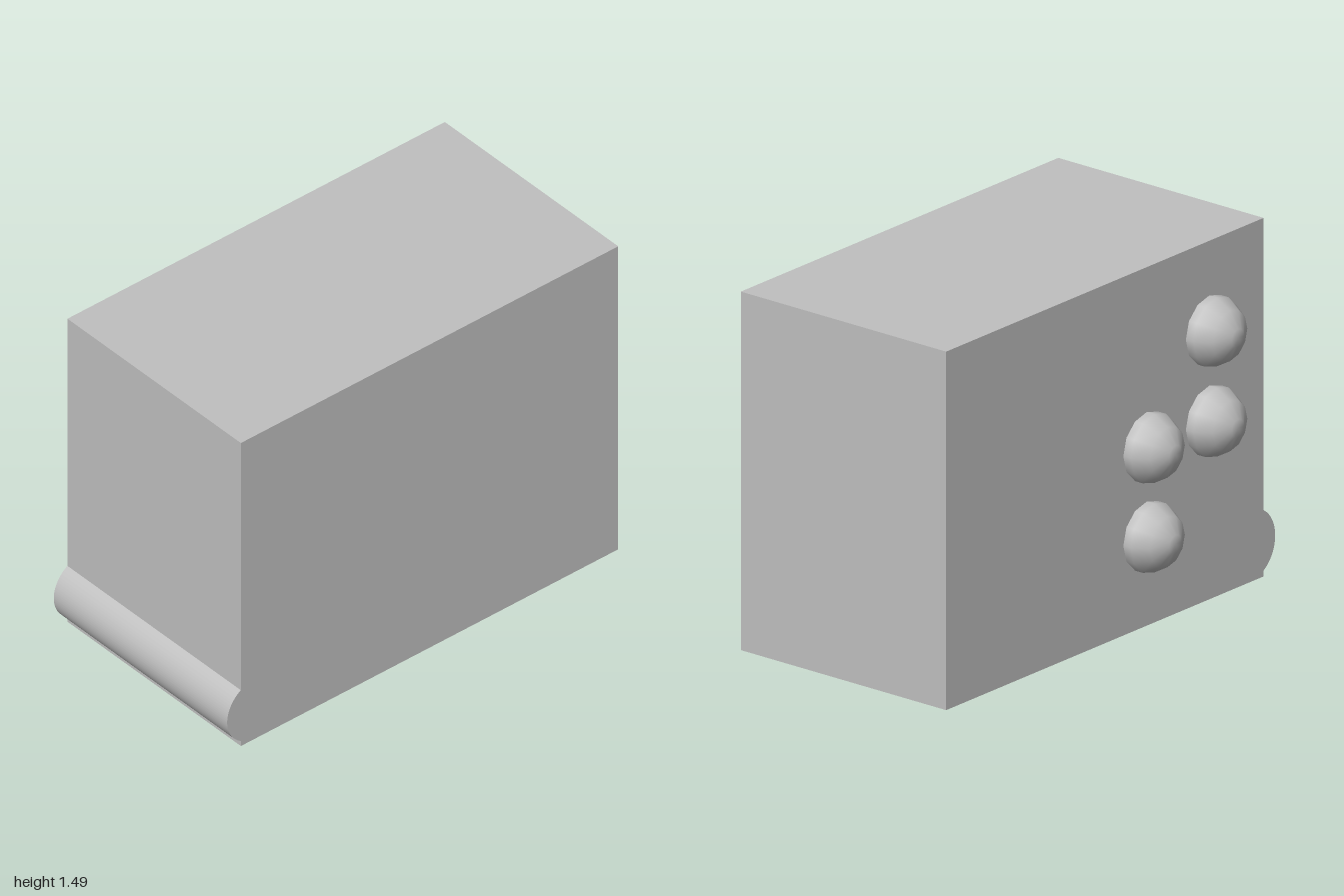
import * as THREE from 'three';
import { toCreasedNormals } from 'three/addons/utils/BufferGeometryUtils.js';

export function createModel() {
  const group = new THREE.Group();
  const grey = new THREE.MeshStandardMaterial({ color: 0xc0c0c0 });
  grey.name = 'light grey';

  const width = 1.04, height = 1.49, back = -1, front = 0.93, rightX = -0.45;

  function add(name, geometry) {
    const mesh = new THREE.Mesh(geometry, grey);
    mesh.name = name;
    group.add(mesh);
    return mesh;
  }

  // Main block
  const block = add('block', new THREE.BoxGeometry(width, height, front - back));
  block.position.set(rightX + width / 2, height / 2, (front + back) / 2);

  // Rounded ridge along the lower front edge: a circle segment swept across x
  const radius = 0.147, half = Math.asin(0.125 / radius);
  const section = new THREE.Shape();
  section.absarc(-(1 - radius), 0.15, radius, Math.PI - half, Math.PI + half, false);
  section.closePath();
  const ridge = new THREE.ExtrudeGeometry(section, { depth: width, bevelEnabled: false, curveSegments: 32 });
  ridge.rotateY(Math.PI / 2);
  add('frontRidge', toCreasedNormals(ridge, 0.5)).position.x = rightX;

  // Four domed knobs on the side, in two staggered columns
  const profile = [[0.143, 0], [0.143, 0.038], [0.105, 0.105], [0.038, 0.145], [0, 0.145]]
    .map(([r, h]) => new THREE.Vector2(r, h));
  const dome = new THREE.LatheGeometry(profile, 12);
  dome.rotateZ(Math.PI / 2);
  for (const [y, z] of [[1.12, 0.6], [0.745, 0.6], [0.745, 0.22], [0.373, 0.22]]) {
    add('knob', dome).position.set(rightX, y, z);
  }

  return group;
}
